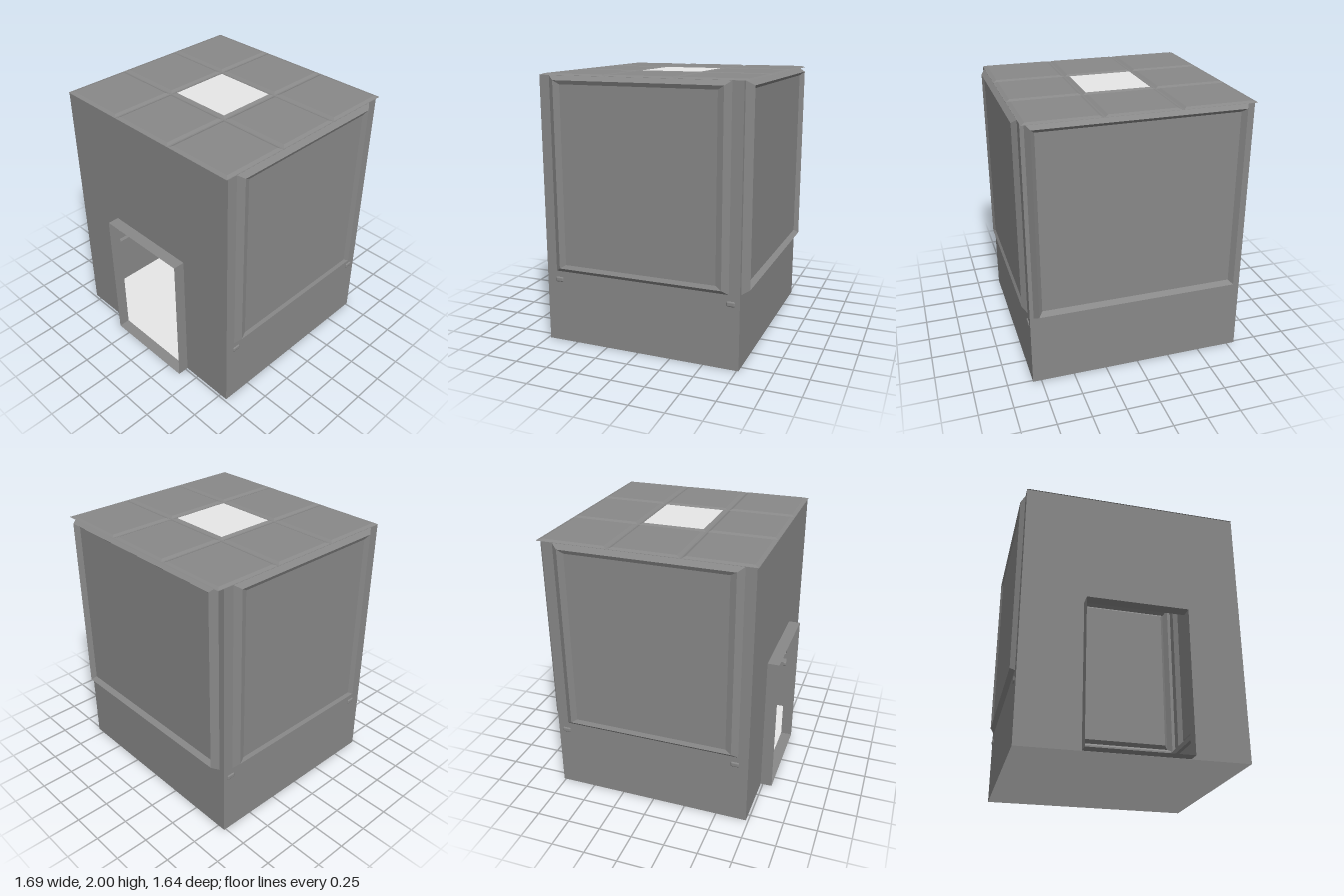
import * as THREE from 'three';
import { RoundedBoxGeometry } from 'three/addons/geometries/RoundedBoxGeometry.js';

const grey = new THREE.MeshStandardMaterial({ color: 0x888888, side: THREE.DoubleSide });
grey.name = 'wall grey';
const light = new THREE.MeshStandardMaterial({ color: 0xe7e7e7, side: THREE.DoubleSide });
light.name = 'light panel';

const X = 0.813, FRONT = 0.732, BACK = -0.765, TOP = 1.99;

function part(name, geometry, material = grey) {
  const mesh = new THREE.Mesh(geometry, material);
  mesh.name = name;
  return mesh;
}

function rectPath(Type, [x0, x1, y0, y1]) {
  return new Type([[x0, y0], [x1, y0], [x1, y1], [x0, y1]].map(([x, y]) => new THREE.Vector2(x, y)));
}

// Flat sheet with an optional rectangular opening
function sheet(rect, hole) {
  const shape = rectPath(THREE.Shape, rect);
  if (hole) shape.holes.push(rectPath(THREE.Path, hole));
  return new THREE.ShapeGeometry(shape);
}

// Nested rectangles joined by sloping bands; each step is [insetX, insetY, height]
function steppedPanel([x0, x1, y0, y1], steps, capped = true) {
  const rings = steps.map(([u, v, z]) => [
    [x0 + u, y0 + v, z], [x1 - u, y0 + v, z], [x1 - u, y1 - v, z], [x0 + u, y1 - v, z],
  ]);
  const pos = [];
  const quad = (a, b, c, d) => pos.push(...a, ...b, ...c, ...a, ...c, ...d);
  for (let i = 0; i + 1 < rings.length; i++) {
    const p = rings[i], q = rings[i + 1];
    for (let k = 0; k < 4; k++) quad(p[k], p[(k + 1) % 4], q[(k + 1) % 4], q[k]);
  }
  if (capped) quad(...rings[rings.length - 1]);
  const g = new THREE.BufferGeometry();
  g.setAttribute('position', new THREE.Float32BufferAttribute(pos, 3));
  g.computeVertexNormals();
  return g;
}

export function createModel() {
  const model = new THREE.Group();
  model.name = 'room module';

  // Front wall with door opening
  const door = [-0.365, 0.38, 0.002, 1.088];
  const front = part('frontWall', sheet([-X, X, 0, TOP], door));
  front.position.z = FRONT;
  model.add(front);

  // Thin tunnel around the doorway
  model.add(part('doorFrame', steppedPanel(door, [[0, 0, FRONT], [0, 0, 0.82]], false)));

  // Side walls: opening, raised window panel and an inner handrail on two pegs
  for (const s of [1, -1]) {
    const side = new THREE.Group();
    side.name = s > 0 ? 'leftSide' : 'rightSide';
    // Local x runs along -z on one side and along +z on the other
    const span = (za, zb) => [-s * za, -s * zb].sort((a, b) => a - b);
    const win = [...span(0.655, -0.685), 0.55, TOP - 0.001];
    side.add(part('sideWall', sheet([...span(FRONT, BACK), 0, TOP], win)));
    side.add(part('sideWindowPanel', steppedPanel(win, [
      [0, 0, 0], [0.045, 0.032, 0.032], [0.09, 0.06, 0.018],
    ])));
    for (const z of [0.633, -0.7]) {
      const peg = part('railPeg', new RoundedBoxGeometry(0.065, 0.04, 0.085, 2, 0.012));
      peg.position.set(-s * z, 0.485, -0.034);
      side.add(peg);
    }
    const rail = part('handrail', new THREE.BoxGeometry(1.36, 0.04, 0.035));
    rail.position.set(s * 0.034, 0.485, -0.06);
    side.add(rail);
    side.rotation.y = s * Math.PI / 2;
    side.position.x = s * X;
    model.add(side);
  }

  // Back wall and its window panel (local x is mirrored)
  const back = new THREE.Group();
  back.name = 'backSide';
  const backWin = [-0.785, 0.765, 0.55, TOP - 0.001];
  back.add(part('backWall', sheet([-X, X, 0, TOP], backWin)));
  back.add(part('backWindowPanel', steppedPanel(backWin, [
    [0, 0, 0], [0.03, 0.032, 0.055], [0.06, 0.06, 0.02],
  ])));
  back.rotation.y = Math.PI;
  back.position.z = BACK;
  model.add(back);

  // Light floor
  const floor = part('floor', sheet([-X, X, -FRONT, -BACK]), light);
  floor.rotation.x = -Math.PI / 2;
  model.add(floor);

  // Roof: three by three bevelled tiles, the middle one a light panel
  const roof = new THREE.Group();
  roof.name = 'roof';
  const xs = [-X, -0.27, 0.27, X], ys = [-0.74, -0.226, 0.289, 0.81];
  for (let i = 0; i < 3; i++) {
    for (let j = 0; j < 3; j++) {
      const cell = [xs[i], xs[i + 1], ys[j], ys[j + 1]];
      const middle = i === 1 && j === 1;
      const steps = [[0, 0, 0], [0.006, 0.006, 0], [0.03, 0.03, 0.01]];
      roof.add(part('roofTile', steppedPanel(cell, steps, !middle)));
      if (middle) {
        const lamp = part('ceilingLight', sheet([cell[0] + 0.03, cell[1] - 0.03, cell[2] + 0.03, cell[3] - 0.03]), light);
        lamp.position.z = 0.01;
        roof.add(lamp);
      }
    }
  }
  roof.rotation.x = -Math.PI / 2;
  roof.position.y = TOP;
  model.add(roof);

  return model;
}
